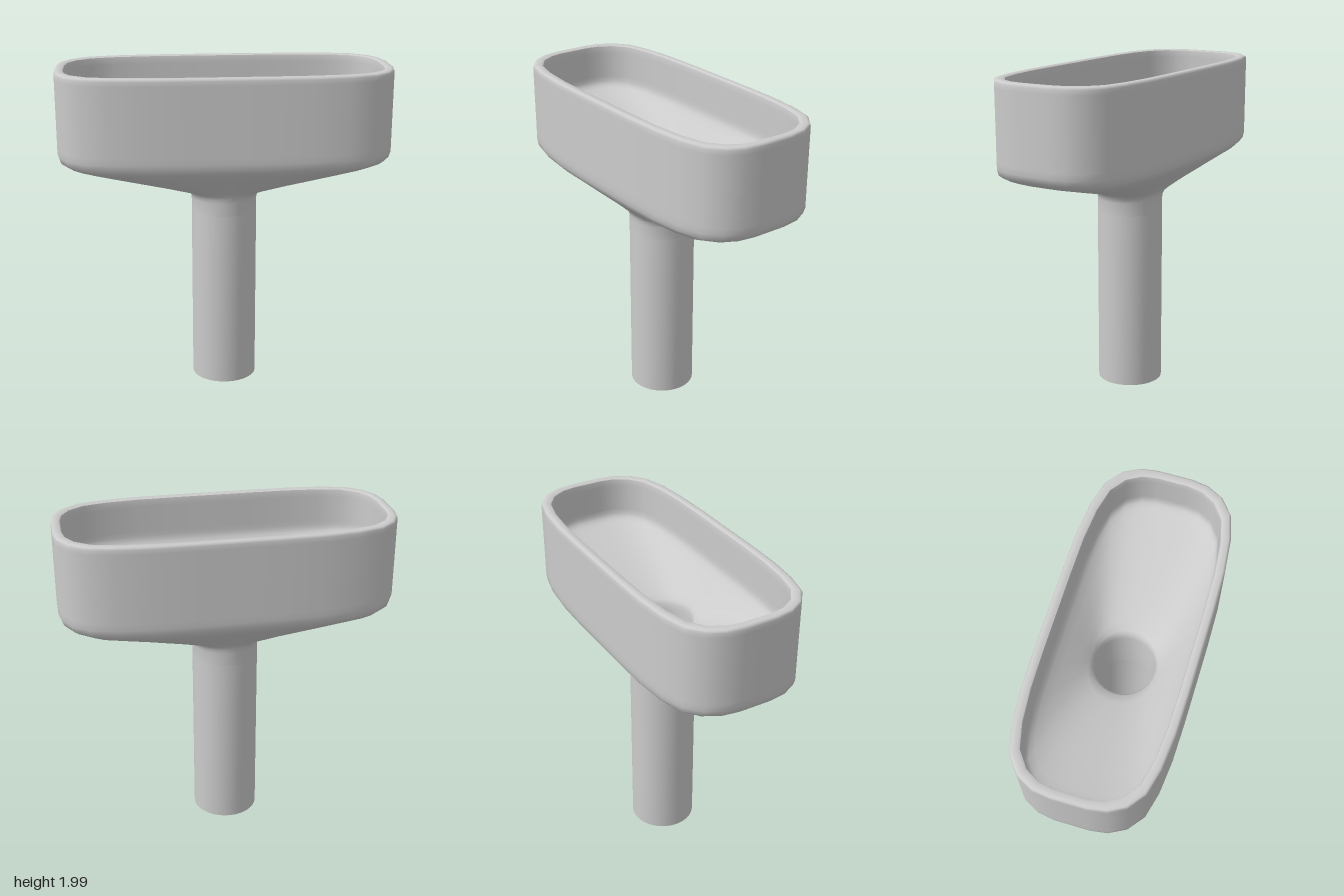
import * as THREE from 'three';
import { toCreasedNormals } from 'three/addons/utils/BufferGeometryUtils.js';

const SIDES = 32, Q = SIDES / 4;
// one quarter of the basin outline, from the +x end to the long side (unit half-sizes 1 x 0.433)
const QUARTER = [[1, 0], [1, 0.1], [0.985, 0.2], [0.935, 0.295], [0.84, 0.37],
  [0.69, 0.408], [0.49, 0.428], [0.25, 0.433], [0, 0.433]];

// mirror the quarter around the full outline
function outline(j) {
  const q = Math.floor(j / Q), k = j % Q;
  const [x, z] = QUARTER[q % 2 ? Q - k : k];
  return [q === 1 || q === 2 ? -x : x, q >= 2 ? -z : z];
}

// skin rings [y, blend, wall]: blend 0 = round neck, 1 = basin outline; wall 0 = outside, 1 = inside
function loft(rings) {
  const pos = [], index = [];
  rings.forEach(([y, t, w], i) => {
    const r = 0.2 - 0.02 * w, sx = 1 - 0.055 * w, sz = 1 - 0.055 * w / 0.433;
    for (let j = 0; j < SIDES; j++) {
      const a = j / SIDES * Math.PI * 2, [ox, oz] = outline(j);
      pos.push(THREE.MathUtils.lerp(r * Math.cos(a), ox * sx, t), y,
        THREE.MathUtils.lerp(r * Math.sin(a), oz * sz, t));
      if (i === rings.length - 1) continue;
      const n = (j + 1) % SIDES, b = i * SIDES, c = b + SIDES;
      index.push(b + j, c + j, b + n, c + j, c + n, b + n);
    }
  });
  const geo = new THREE.BufferGeometry();
  geo.setAttribute('position', new THREE.Float32BufferAttribute(pos, 3));
  geo.setIndex(index);
  return toCreasedNormals(geo, 0.8);
}

export function createModel() {
  const group = new THREE.Group();
  const material = new THREE.MeshStandardMaterial({ color: 0xcccccc });
  const add = (name, rings) => {
    const mesh = new THREE.Mesh(loft(rings), material);
    mesh.name = name;
    group.add(mesh);
  };

  // hollow round spout, open at the bottom
  add('spout', [[1.1, 0, 1], [0, 0, 1], [0, 0, 0], [1.1, 0, 0]]);

  // basin: outside from neck to rim, over the rim, down to the raised sloping floor and its drain hole
  add('basin', [
    [1.1, 0, 0], [1.18, 0, 0], [1.205, 0.008, 0], [1.225, 0.03, 0], [1.245, 0.1, 0],
    [1.29, 0.3, 0], [1.37, 0.68, 0], [1.413, 0.88, 0],
    [1.435, 0.95, 0], [1.455, 0.985, 0], [1.49, 1, 0], [1.53, 1, 0],
    [1.945, 1, 0], [1.972, 1, 0], [1.983, 1, 0.07], [1.988, 1, 0.25],
    [1.988, 1, 0.8], [1.983, 1, 0.95], [1.97, 1, 1], [1.94, 1, 1],
    [1.78, 1, 1], [1.75, 1, 1], [1.725, 0.985, 1], [1.71, 0.95, 1],
    [1.69, 0.88, 1], [1.645, 0.68, 1], [1.565, 0.3, 1],
    [1.52, 0.1, 1], [1.5, 0.03, 1], [1.48, 0.008, 1], [1.44, 0, 1], [1.1, 0, 1],
  ]);
  return group;
}
